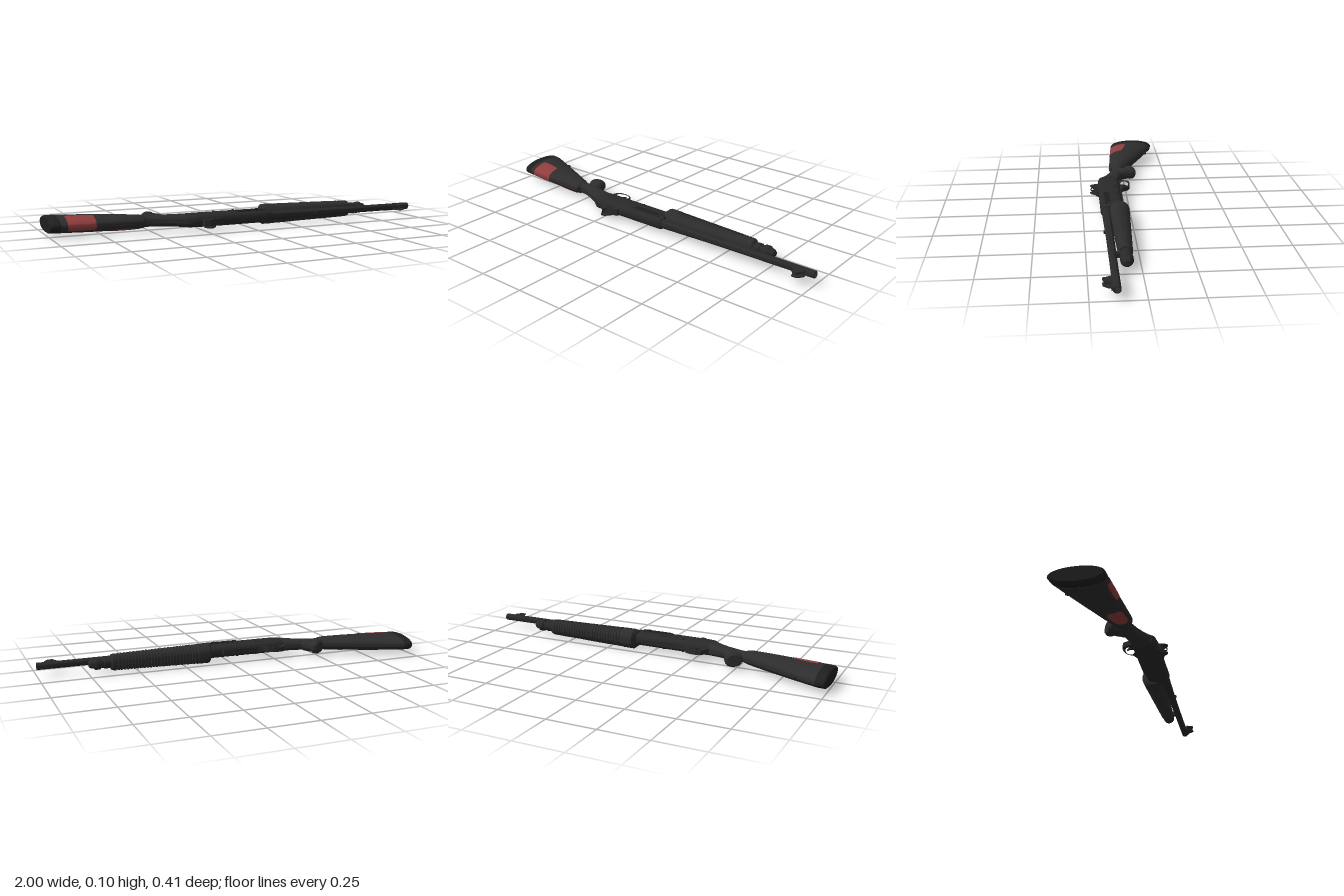
import * as THREE from 'three';
import { toCreasedNormals } from 'three/addons/utils/BufferGeometryUtils.js';

const AXIS_Y = 0.0525; // height of the long axis, the model lies on its side

const paint = (name, color) => {
  const m = new THREE.MeshStandardMaterial({ color });
  m.name = name;
  return m;
};

// Point on a lofted body; sections are [x, zLow, zHigh, halfWidth, roundness]
function pointAt(sections, x, a, grow = 0) {
  let i = 0;
  while (i < sections.length - 2 && x > sections[i + 1][0]) i++;
  const p = sections[i], q = sections[i + 1];
  const t = (x - p[0]) / (q[0] - p[0]);
  const [, lo, hi, w, n] = p.map((v, k) => v + (q[k] - v) * t);
  const bend = (v) => Math.sign(v) * Math.abs(v) ** (2 / n);
  return [x, (w + grow) * bend(Math.cos(a)), (lo + hi) / 2 + ((hi - lo) / 2 + grow) * bend(Math.sin(a))];
}

// Triangles over rows of points, with optional end caps
function skin(rows, capped) {
  const pos = [];
  const tri = (...pts) => pts.forEach((p) => pos.push(...p));
  for (let i = 0; i < rows.length - 1; i++) {
    for (let j = 0; j < rows[i].length - 1; j++) {
      const a = rows[i][j], b = rows[i][j + 1], c = rows[i + 1][j], d = rows[i + 1][j + 1];
      tri(a, b, c);
      tri(b, d, c);
    }
  }
  if (capped) {
    [rows[0], rows[rows.length - 1]].forEach((row, end) => {
      const mid = [0, 1, 2].map((k) => row.slice(1).reduce((s, p) => s + p[k], 0) / (row.length - 1));
      for (let j = 0; j < row.length - 1; j++) {
        if (end) tri(mid, row[j], row[j + 1]);
        else tri(mid, row[j + 1], row[j]);
      }
    });
  }
  const g = new THREE.BufferGeometry();
  g.setAttribute('position', new THREE.Float32BufferAttribute(pos, 3));
  return toCreasedNormals(g, 0.6);
}

function loft(sections, sides = 40) {
  const rows = sections.map((s) =>
    Array.from({ length: sides + 1 }, (_, j) => pointAt(sections, s[0], ((j % sides) / sides) * Math.PI * 2)));
  return skin(rows, true);
}

// Thin painted panel hugging a lofted body, narrowed at both ends
function panel(sections, x0, x1, a0, a1, pinch) {
  const rows = [];
  for (let i = 0; i <= 12; i++) {
    const u = i / 12;
    const half = ((a1 - a0) / 2) * (1 - pinch * Math.abs(2 * u - 1) ** 4);
    rows.push(Array.from({ length: 25 }, (_, j) =>
      pointAt(sections, x0 + (x1 - x0) * u, (a0 + a1) / 2 + half * (j / 12 - 1), 0.002)));
  }
  return skin(rows, false);
}

// Turned part along x from [x, radius] pairs
function turned(profile, sides = 32) {
  const g = new THREE.LatheGeometry(profile.map(([x, r]) => new THREE.Vector2(r, x)), sides);
  g.rotateZ(-Math.PI / 2);
  return toCreasedNormals(g, 0.6);
}

// Outline drawn in x and z, given thickness along y
function plate(points, thick, hole) {
  const s = new THREE.Shape(points.map(([x, z]) => new THREE.Vector2(x, -z)));
  if (hole) s.holes.push(hole);
  const g = new THREE.ExtrudeGeometry(s, { depth: thick, bevelEnabled: false, curveSegments: 20 });
  return g.translate(0, 0, -thick / 2).rotateX(-Math.PI / 2);
}

export function createModel() {
  const polymer = paint('dark polymer', 0x2d2d2d);
  const metal = paint('gunmetal', 0x292929);
  const rubber = paint('black rubber', 0x1f1f1f);
  const red = paint('worn red', 0x8f3d3d);
  red.side = THREE.DoubleSide;

  const group = new THREE.Group();
  const add = (name, geometry, material, x = 0, y = 0, z = 0) => {
    const m = new THREE.Mesh(geometry, material);
    m.name = name;
    m.position.set(x, AXIS_Y + y, z);
    group.add(m);
    return m;
  };

  // Shoulder stock with butt pad
  const stock = [
    [-0.95, -0.2, 0.049, 0.042, 2.1], [-0.8, -0.133, 0.061, 0.042, 2.1],
    [-0.65, -0.063, 0.074, 0.039, 2.1], [-0.56, -0.022, 0.082, 0.035, 2.1],
    [-0.54, -0.01, 0.078, 0.031, 2.1], [-0.525, 0, 0.055, 0.026, 2.1],
  ];
  add('stock', loft(stock), polymer);
  add('buttPad', loft([
    [-1, -0.2, 0.04, 0.036, 2.1], [-0.993, -0.208, 0.046, 0.041, 2.1],
    [-0.955, -0.202, 0.05, 0.0425, 2.1], [-0.948, -0.196, 0.047, 0.04, 2.1],
  ]), rubber);
  add('upperRedPanel', panel(stock, -0.918, -0.782, 0.18, 2.1, 0.07), red);
  add('lowerRedPanel', panel(stock, -0.7, -0.585, 2.2, 3.3, 0.4), red);
  const stud = add('slingStud', new THREE.TorusGeometry(0.01, 0.004, 8, 16), metal, -0.84, 0, -0.155);
  stud.rotation.x = Math.PI / 2;

  // Wrist joining stock and receiver
  add('wrist', loft([
    [-0.56, 0, 0.06, 0.027, 2.2], [-0.5, 0, 0.066, 0.029, 2.2], [-0.43, 0.01, 0.092, 0.03, 2.3],
    [-0.38, 0.025, 0.115, 0.031, 2.5], [-0.32, 0.038, 0.15, 0.033, 3],
  ]), polymer);

  // Ribbed pistol grip ending in a flared knob
  const gripRows = [[0, -0.045, 0.04, 0.028, 2.2]];
  for (let i = 0; i < 6; i++) {
    const x = 0.025 + i * 0.01;
    gripRows.push([x, -0.037, 0.036, 0.03, 2.2], [x + 0.005, -0.039, 0.038, 0.032, 2.2]);
  }
  gripRows.push([0.09, -0.045, 0.044, 0.037, 2.2], [0.108, -0.046, 0.045, 0.037, 2.2], [0.12, -0.036, 0.034, 0.028, 2.2]);
  add('grip', loft(gripRows), polymer, -0.44, 0, 0.05).rotation.y = 2.1;

  // Receiver
  add('receiver', loft([
    [-0.345, 0.045, 0.14, 0.029, 3], [-0.325, 0.038, 0.154, 0.033, 3.2], [-0.27, 0.037, 0.16, 0.034, 3.2],
    [0.08, 0.042, 0.16, 0.034, 3.2], [0.115, 0.046, 0.16, 0.034, 3], [0.122, 0.05, 0.156, 0.03, 3],
  ]), metal);
  const rim = [[-0.085, 0.1], [0.095, 0.1], [0.095, 0.143], [-0.07, 0.143], [-0.085, 0.132]];
  add('portRim', plate(rim, 0.004), metal, 0, 0.033);
  add('bolt', new THREE.BoxGeometry(0.15, 0.006, 0.028), rubber, 0.005, 0.034, 0.121);
  add('boltHandle', new THREE.CylinderGeometry(0.006, 0.006, 0.012, 12), metal, 0.05, 0.037, 0.121);
  for (const side of [1, -1]) {
    for (const x of [-0.17, -0.06]) {
      add('receiverPin', new THREE.CylinderGeometry(0.006, 0.006, 0.003, 14), rubber, x, side * 0.034, 0.068);
    }
  }

  // Trigger and its guard
  const opening = new THREE.Path().absellipse(-0.255, -0.012, 0.041, 0.022, 0, Math.PI * 2, true, 0);
  add('triggerGuard', plate([
    [-0.335, 0.05], [-0.315, 0.005], [-0.305, -0.013], [-0.28, -0.02], [-0.245, -0.018],
    [-0.215, -0.005], [-0.2, 0.02], [-0.17, 0.034], [0.03, 0.034], [0.05, 0.055],
  ], 0.024, opening), metal);
  add('trigger', plate([[-0.267, 0.045], [-0.25, 0.045], [-0.254, 0.015], [-0.244, -0.004], [-0.262, 0.01]], 0.01), rubber);

  // Rear sight with two ears around the aperture
  add('rearSightBase', plate([
    [-0.27, 0.155], [-0.262, 0.174], [-0.235, 0.182], [-0.2, 0.18], [-0.16, 0.17], [-0.155, 0.155],
  ], 0.034), metal, 0, -0.006);
  for (const side of [1, -1]) {
    add('rearSightEar', plate([[-0.262, 0.165], [-0.255, 0.192], [-0.24, 0.203], [-0.225, 0.198], [-0.2, 0.168]], 0.006),
      metal, 0, -0.009 + side * 0.02);
  }
  const aperture = add('rearAperture', new THREE.TorusGeometry(0.008, 0.003, 8, 20), rubber, -0.238, -0.009, 0.19);
  aperture.rotation.y = Math.PI / 2;

  // Barrel with an open muzzle
  add('barrel', turned([
    [0.08, 0], [0.08, 0.025], [0.16, 0.024], [0.4, 0.02], [0.7, 0.0185], [0.997, 0.0185],
    [1, 0.0165], [1, 0.013], [0.93, 0.013], [0.93, 0],
  ]), metal, 0, 0, 0.131);
  add('barrelPin', new THREE.BoxGeometry(0.016, 0.012, 0.012), metal, 0.39, 0, 0.152);

  // Front sight
  add('frontSightBase', new THREE.BoxGeometry(0.1, 0.016, 0.01), metal, 0.94, 0, 0.15);
  add('frontSightPost', plate([[0.915, 0.15], [0.92, 0.182], [0.93, 0.182], [0.94, 0.15]], 0.006), rubber);
  for (const side of [1, -1]) {
    add('frontSightEar', plate([[0.89, 0.152], [0.9, 0.166], [0.908, 0.19], [0.935, 0.19], [0.955, 0.166], [0.957, 0.152]], 0.005),
      metal, 0, side * 0.012);
  }

  // Magazine tube, end cap and barrel band
  add('magazineTube', turned([[0.1, 0], [0.1, 0.027], [0.67, 0.027], [0.67, 0]]), metal, 0, 0, 0.069);
  add('magazineCap', turned([
    [0.645, 0], [0.645, 0.029], [0.672, 0.029], [0.676, 0.025], [0.69, 0.025], [0.694, 0.031],
    [0.718, 0.031], [0.726, 0.024], [0.742, 0.021], [0.75, 0.014], [0.75, 0],
  ]), metal, 0, 0, 0.069);
  add('barrelBand', new THREE.BoxGeometry(0.03, 0.022, 0.05), metal, 0.65, 0, 0.105);

  // Ribbed sliding fore-end
  const ribs = [[0.098, 0.035, 0.11, 0.042, 2.2], [0.112, 0.011, 0.116, 0.0525, 2.2], [0.175, 0.013, 0.116, 0.0525, 2.2]];
  const count = 26;
  for (let i = 0; i < count; i++) {
    const t = i / count;
    const x = 0.18 + t * 0.44, lo = 0.014 + t * 0.021, hi = 0.116 - t * 0.012, w = 0.0515 - t * 0.008;
    ribs.push([x, lo + 0.003, hi, w - 0.003, 2.2], [x + 0.007, lo + 0.003, hi, w - 0.003, 2.2],
      [x + 0.009, lo, hi, w, 2.2], [x + 0.015, lo, hi, w, 2.2]);
  }
  ribs.push([0.632, 0.036, 0.103, 0.041, 2.2], [0.638, 0.042, 0.098, 0.034, 2.2]);
  add('foreEnd', loft(ribs), polymer);
  return group;
}
